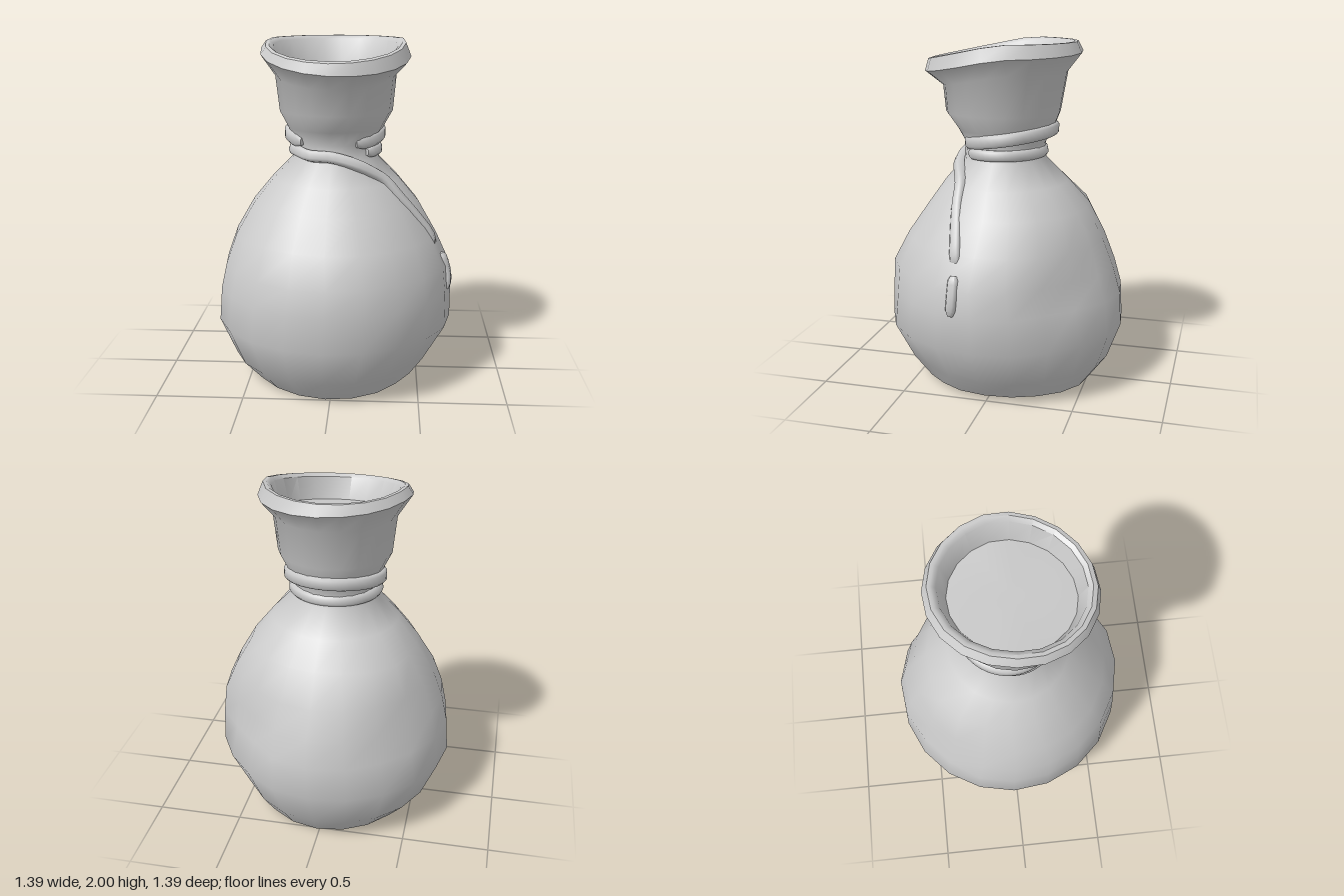
import * as THREE from 'three';
import { toCreasedNormals } from 'three/addons/utils/BufferGeometryUtils.js';

const SIDES = 20;

// Skins a list of rings (arrays of Vector3 with equal length) into a surface.
function loft(rings, crease) {
  const n = rings[0].length, pos = [], idx = [];
  rings.forEach(r => r.forEach(p => pos.push(p.x, p.y, p.z)));
  for (let j = 0; j < rings.length - 1; j++) {
    for (let i = 0; i < n; i++) {
      const a = j * n + i, b = j * n + (i + 1) % n;
      idx.push(a, a + n, b, b, a + n, b + n);
    }
  }
  const g = new THREE.BufferGeometry();
  g.setAttribute('position', new THREE.Float32BufferAttribute(pos, 3));
  g.setIndex(idx);
  return toCreasedNormals(g, crease);
}

// Horizontal ring between x0..x1 and z0..z1; drop lowers its front, lean tips it sideways.
function ring([y, x0, x1, z0, z1, drop = 0, lean = 0]) {
  const pts = [];
  for (let i = 0; i < SIDES; i++) {
    const a = (i / SIDES) * Math.PI * 2 + 0.045;
    const x = (x0 + x1) / 2 + Math.cos(a) * (x1 - x0) / 2;
    const z = (z0 + z1) / 2 + Math.sin(a) * (z1 - z0) / 2;
    pts.push(new THREE.Vector3(x, y - drop * Math.max(0, z + 0.04) - lean * x, z));
  }
  return pts;
}

// Soft hollows (and bulges, with negative depth) in the sack: centre, radius, depth.
const dents = [
  [new THREE.Vector3(0.47, 0.62, -0.44), 0.42, 0.08],
  [new THREE.Vector3(0.42, 0.95, -0.4), 0.24, -0.02],
  [new THREE.Vector3(-0.42, 0.66, -0.48), 0.34, 0.035],
  [new THREE.Vector3(-0.36, 1.02, -0.36), 0.28, -0.035],
  [new THREE.Vector3(0.45, 0.7, 0.48), 0.36, 0.025],
  [new THREE.Vector3(0.47, 0.14, 0.38), 0.28, 0.03],
  [new THREE.Vector3(0.45, 0.14, -0.4), 0.26, 0.02],
];
function dent(p) {
  let push = 0;
  for (const [c, r, depth] of dents) push += depth * THREE.MathUtils.smoothstep(1 - p.distanceTo(c) / r, 0, 1);
  const scale = 1 - push / Math.hypot(p.x, p.z);
  p.x *= scale;
  p.z *= scale;
}

// Flattened cord along a path, facing away from the sack, with tapered ends.
function cord(points, steps, halfHeight, halfDepth, rise = 0) {
  const path = new THREE.CatmullRomCurve3(points.map(p => new THREE.Vector3(...p)), false, 'centripetal');
  const rings = [];
  for (let k = -1; k <= steps + 1; k++) {
    const t = THREE.MathUtils.clamp(k / steps, 0, 1);
    const c = path.getPoint(t), T = path.getTangent(t);
    const N = new THREE.Vector3(c.x, 0, c.z).normalize();
    N.y = rise * t;
    N.addScaledVector(T, -N.dot(T)).normalize();
    const B = new THREE.Vector3().crossVectors(N, T);
    const s = k < 0 || k > steps ? 0 : (k === 0 || k === steps ? 0.6 : 1);
    // Flat outer face with bevelled edges
    rings.push([[1, -0.6], [1, 0.6], [0.4, 1], [-1, 1], [-1, -1], [0.4, -1]].map(([n, b]) =>
      c.clone().addScaledVector(N, n * halfDepth * s).addScaledVector(B, b * halfHeight * s)));
  }
  return loft(rings, 0.9);
}

// Points around the neck between two angles (0 = left side, 90 = front).
function around(from, to, n, at) {
  return Array.from({ length: n + 1 }, (_, i) =>
    at(THREE.MathUtils.degToRad(from + (to - from) * i / n)));
}

export function createModel() {
  const group = new THREE.Group();
  const add = (name, geometry) => {
    const mesh = new THREE.Mesh(geometry, new THREE.MeshStandardMaterial({ color: 0xcccccc }));
    mesh.name = name;
    group.add(mesh);
  };

  // Sack body and neck, from the lower edge to the flare under the rim
  const body = [
    [0.0, -0.5, 0.49, -0.51, 0.49],
    [0.14, -0.605, 0.575, -0.615, 0.605],
    [0.36, -0.7, 0.695, -0.695, 0.7],
    [0.56, -0.685, 0.695, -0.685, 0.69],
    [0.71, -0.65, 0.68, -0.645, 0.68],
    [0.88, -0.59, 0.6, -0.575, 0.59],
    [1.06, -0.485, 0.495, -0.48, 0.465],
    [1.2, -0.37, 0.38, -0.355, 0.365],
    [1.33, -0.245, 0.255, -0.225, 0.255],
    [1.42, -0.24, 0.245, -0.22, 0.245],
    [1.5, -0.27, 0.28, -0.265, 0.29],
    [1.6, -0.32, 0.335, -0.305, 0.36],
    [1.83, -0.345, 0.355, -0.345, 0.375, 0.2],
    [1.94, -0.425, 0.435, -0.43, 0.48, 0.21, 0.04],
  ].map(ring);
  // Uneven lower edge
  body[0].forEach(p => { p.y += 0.03 * (p.x / 0.5) ** 2; });
  body.slice(0, 8).forEach(r => r.forEach(dent));
  add('sack', loft(body, Math.PI));
  add('underside', loft([ring([0.015, 0, 0, 0, 0]), body[0]], Math.PI));

  // Rolled rim and inner wall of the mouth
  add('rim', loft([
    [1.94, -0.425, 0.435, -0.43, 0.48, 0.21, 0.04],
    [2.0, -0.395, 0.405, -0.4, 0.46, 0.21],
    [2.0, -0.375, 0.385, -0.38, 0.435, 0.2],
    [1.98, -0.35, 0.36, -0.355, 0.41, 0.2],
    [1.83, -0.305, 0.325, -0.31, 0.365, 0.18],
  ].map(ring), 0.7));

  // Sloping surface filling the mouth
  const contents = ring([1.84, -0.31, 0.33, -0.315, 0.37, 0.18]);
  add('contents', loft([contents, contents.map(p => new THREE.Vector3(0.01, 1.82, 0.03))], 0.5));

  // Cord: lower turn around the neck, then across the front and down the side
  const lowerTurn = around(42, -210, 14, a => [
    0.005 + 0.248 * Math.cos(a), 1.376, 0.02 + 0.23 * Math.sin(a)]);
  add('lowerCord', cord([...lowerTurn,
    [-0.13, 1.364, 0.235], [0, 1.358, 0.258], [0.13, 1.322, 0.262], [0.22, 1.275, 0.235],
    [0.295, 1.225, 0.205], [0.385, 1.12, 0.195], [0.485, 1.0, 0.172], [0.567, 0.88, 0.15], [0.57, 0.82, 0.145],
  ], 64, 0.031, 0.022, 0.6));

  // Tilted upper turn, higher at the back and sinking into the front
  add('upperCord', cord(around(62, -230, 16, a => [
    0.272 * Math.cos(a), 1.466 - 0.04 * Math.sin(a), -0.015 + 0.258 * Math.sin(a)]), 32, 0.037, 0.022));

  // Loose end of the cord poking out of a fold
  add('cordEnd', cord([
    [0.625, 0.78, 0.14], [0.648, 0.72, 0.14], [0.665, 0.65, 0.142], [0.663, 0.565, 0.15],
  ], 8, 0.03, 0.024));

  return group;
}
